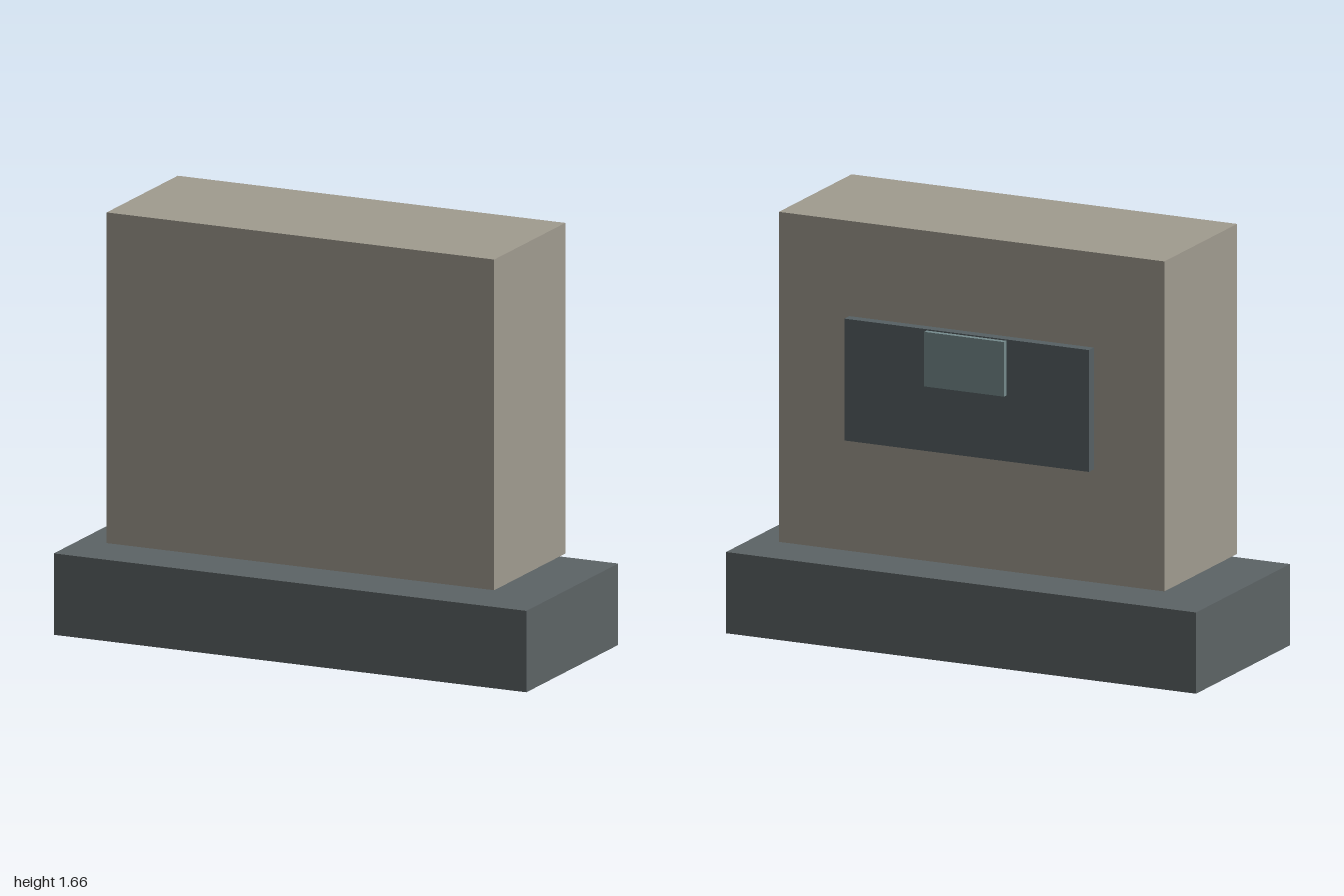
import * as THREE from 'three';

export function createModel() {
  const model = new THREE.Group();

  // Box given by its width (centred on x) and its y and z ranges
  function addBlock(name, color, width, [y0, y1], [z0, z1]) {
    const mesh = new THREE.Mesh(
      new THREE.BoxGeometry(width, y1 - y0, z1 - z0),
      new THREE.MeshStandardMaterial({ color })
    );
    mesh.name = name;
    mesh.position.set(0, (y0 + y1) / 2, (z0 + z1) / 2);
    model.add(mesh);
  }

  // Wide plinth, with the body floating just above it
  addBlock('base', 0x5c6365, 2, [0, 0.32], [-0.4, 0.4]);
  addBlock('body', 0xa09b8f, 1.64, [0.36, 1.66], [-0.31, 0.31]);

  // Rear panel and the small tab near its top edge
  addBlock('backPanel', 0x566063, 1.04, [0.805, 1.285], [-0.352, -0.31]);
  addBlock('backTab', 0x758a8c, 0.34, [1.065, 1.28], [-0.374, -0.352]);

  return model;
}
